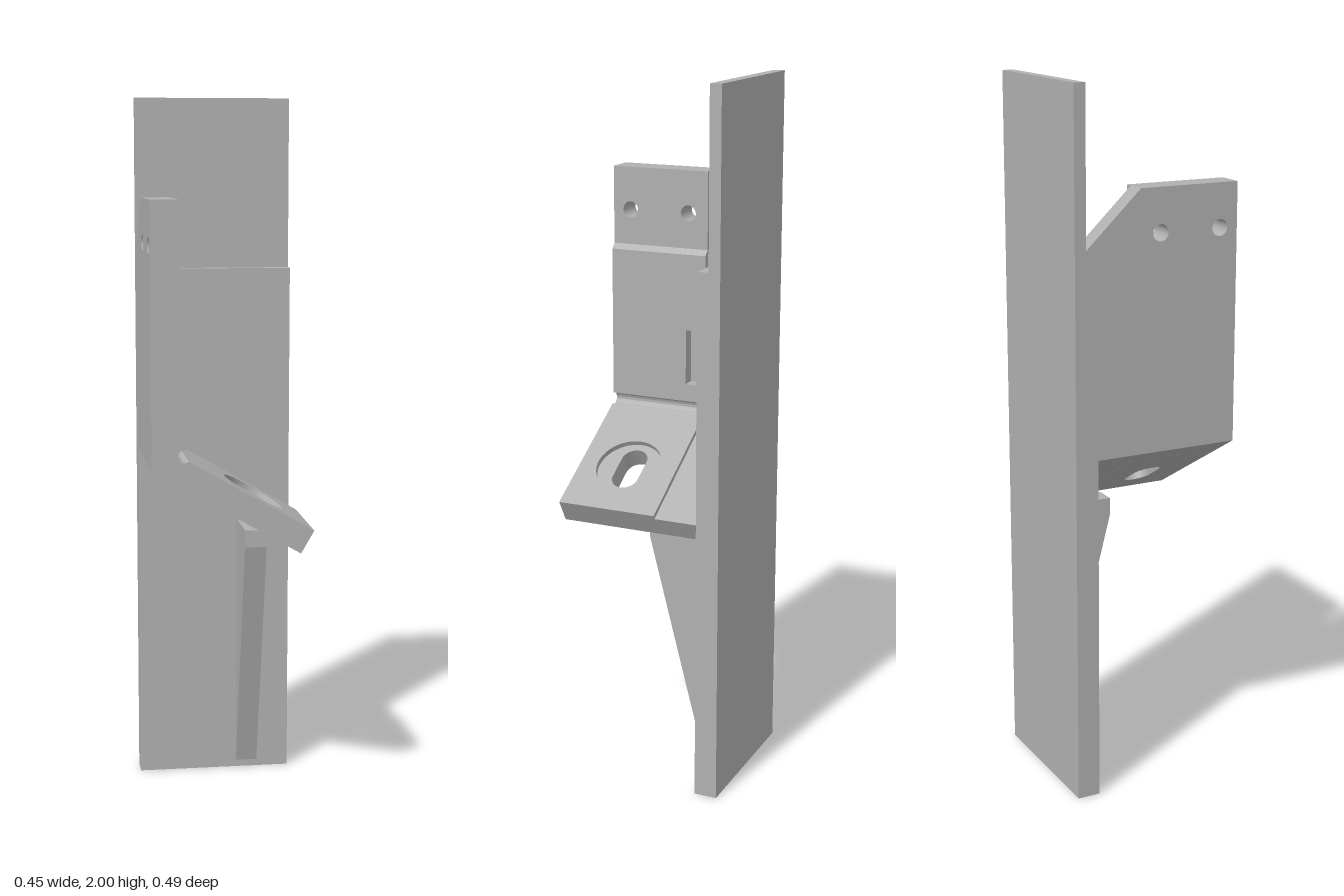
import * as THREE from 'three';

export function createModel() {
  const model = new THREE.Group();
  const grey = new THREE.MeshStandardMaterial({ color: 0xb0b0b0 });
  grey.name = 'plain grey';

  const poly = (pts) => new THREE.Shape(pts.map(([a, b]) => new THREE.Vector2(a, b)));
  const rect = (a0, b0, a1, b1) => poly([[a0, b0], [a1, b0], [a1, b1], [a0, b1]]);
  const circle = (a, b, r) => new THREE.Path().absarc(a, b, r, 0, Math.PI * 2, true);

  // Extrude a shape drawn on axes a and b; depth runs along a x b from the origin.
  function extrude(name, shape, depth, a, b, origin) {
    const geo = new THREE.ExtrudeGeometry(shape, { depth, bevelEnabled: false, curveSegments: 32 });
    const m = new THREE.Matrix4().makeBasis(a, b, a.clone().cross(b)).setPosition(origin);
    const mesh = new THREE.Mesh(geo.applyMatrix4(m), grey);
    mesh.name = name;
    model.add(mesh);
  }
  const X = new THREE.Vector3(1, 0, 0), Y = new THREE.Vector3(0, 1, 0), Z = new THREE.Vector3(0, 0, 1);
  const alongZ = (name, shape, z0, z1) => extrude(name, shape, z1 - z0, X, Y, new THREE.Vector3(0, 0, z0));
  const alongX = (name, shape, x0, x1) => extrude(name, shape, x1 - x0, Z, Y, new THREE.Vector3(x1, 0, 0));

  const left = 0.222, right = -0.225, front = 0.243, step = -0.05, plate = -0.177;

  // Stepped back plate
  alongX('backPlate', poly([[-0.243, 0], [plate, 0], [plate, 1.515], [-0.21, 1.515], [-0.21, 2], [-0.243, 2]]), right, left);

  // Upper side wall with two bolt holes, and its chamfered rear web
  const flange = rect(step, 1.55, front, 1.722);
  flange.holes.push(circle(0.19, 1.6, 0.023), circle(0.01, 1.6, 0.023));
  alongX('sideWallTop', flange, right, -0.147);
  alongX('rearWeb', poly([[step, 1.5], [step, 1.722], [-0.21, 1.57], [-0.21, 1.5]]), right, -0.168);

  // Side wall with relief groove in the corner; a pocket is cut near the back
  const pocket = (x) => [[x, 1.265], [-0.17, 1.265], [-0.17, 1.105], [x, 1.105]];
  const groove = [];
  for (let i = 0; i <= 10; i++) {
    const t = THREE.MathUtils.degToRad(80 + i * 23);
    groove.push([-0.135 + 0.018 * Math.cos(t), 1.036 + 0.018 * Math.sin(t)]);
  }
  const wall = (cut) => poly([
    [right, 1.55], [-0.147, 1.55], [-0.147, 1.5], [-0.132, 1.485], ...cut,
    ...groove, [-0.12, 1.0195], [-0.1565, 0.9563], [right, 0.996],
  ]);
  alongZ('sideWall', wall([]), 0.01, front);
  alongZ('sideWallPocket', wall(pocket(-0.132)), step, 0.01);

  // Recessed rear part of the wall and sloping shelf
  alongZ('recessedBracket', poly([
    [right, 1.515], [-0.168, 1.515], [-0.168, 1.5], [-0.15, 1.485], ...pocket(-0.15),
    [-0.15, 1.023], [0.216, 0.8116], [0.1855, 0.759], [right, 0.996],
  ]), plate, step);

  // Sloping shelf: slotted lower layer below a counterbored upper layer
  const slope = Math.PI / 6;
  const up = new THREE.Vector3(-Math.cos(slope), Math.sin(slope), 0);
  const normal = new THREE.Vector3(Math.sin(slope), Math.cos(slope), 0);
  const edge = new THREE.Vector3(left, 0.822, 0);
  const length = 0.395, cu = 0.17, cz = 0.096, r = 0.039, h = 0.034;
  const lower = rect(0, step, length, front);
  lower.holes.push(new THREE.Path()
    .absarc(cu + h, cz, r, -Math.PI / 2, Math.PI / 2, false)
    .absarc(cu - h, cz, r, Math.PI / 2, Math.PI * 1.5, false));
  extrude('slottedShelf', lower, 0.058, up, Z, edge.clone().addScaledVector(normal, -0.073));
  const upper = rect(0, step, length, front);
  upper.holes.push(circle(cu, cz, 0.095));
  extrude('shelfCounterbore', upper, 0.015, up, Z, edge.clone().addScaledVector(normal, -0.015));

  // Tapered rib under the shelf
  alongX('supportRib', poly([[plate, 0.02], [0.005, 0.725], [0.005, 0.775], [plate, 0.775]]), 0.065, 0.128);

  return model;
}
